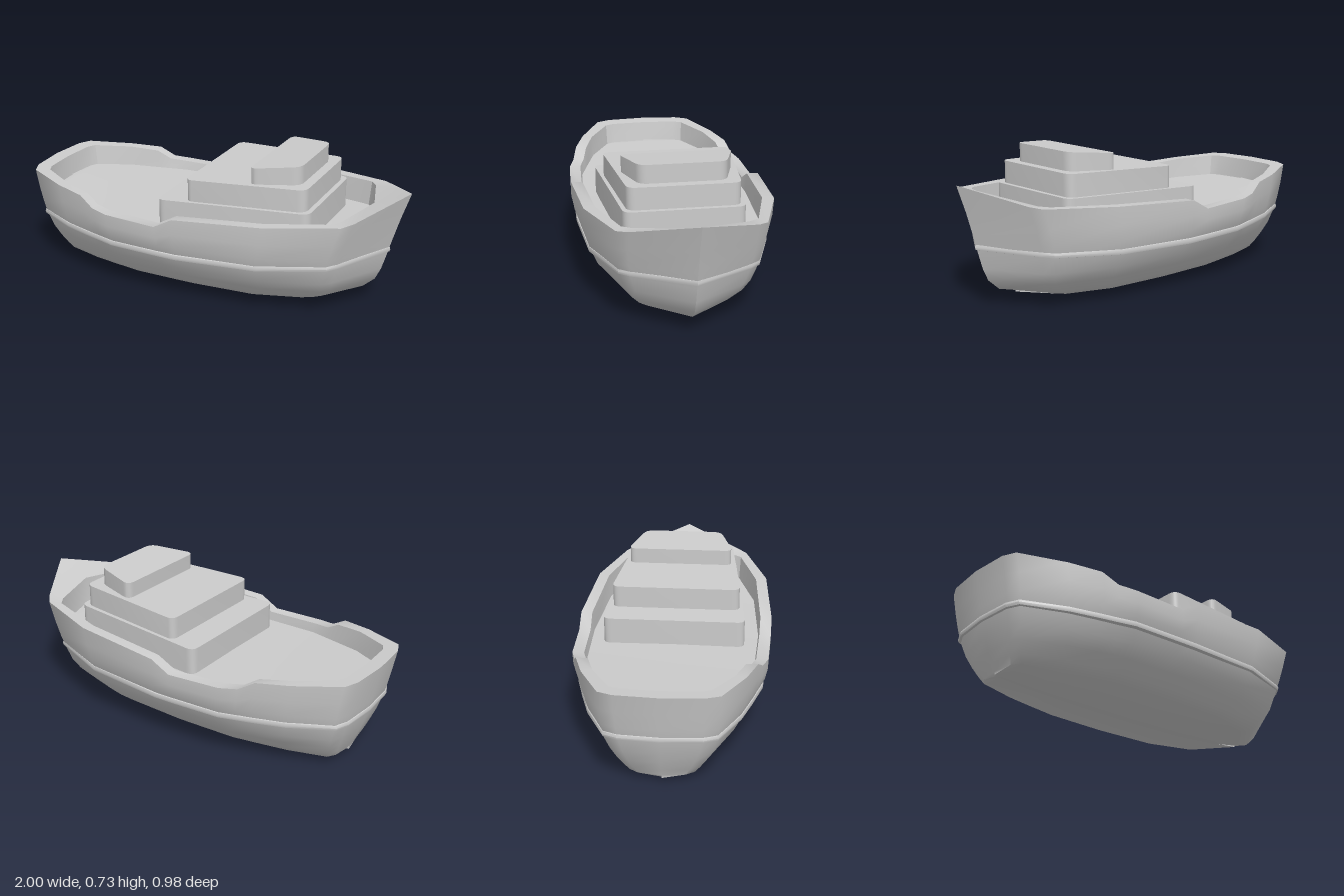
import * as THREE from 'three';
import { toCreasedNormals } from 'three/addons/utils/BufferGeometryUtils.js';

// Half outlines [x, z] from stern centre to bow: outer and inner edge of the rail
const OUTER = [[-1, 0], [-0.985, 0.2], [-0.955, 0.27], [-0.74, 0.375], [-0.58, 0.425], [-0.5, 0.447], [-0.41, 0.473],
  [-0.13, 0.486], [-0.03, 0.489], [0.43, 0.46], [0.77, 0.345], [0.815, 0.295], [1, 0]];
const INNER = [[-0.925, 0], [-0.915, 0.18], [-0.895, 0.225], [-0.72, 0.325], [-0.57, 0.37], [-0.5, 0.39], [-0.41, 0.415],
  [-0.13, 0.428], [-0.03, 0.432], [0.41, 0.405], [0.71, 0.315], [0.745, 0.265], [0.82, 0]];

// Rail height along the length, with the low waist amidships
const SHEER = [[-1, 0.515], [-0.58, 0.483], [-0.5, 0.435], [-0.41, 0.425], [-0.13, 0.415], [-0.03, 0.47],
  [0.43, 0.5], [0.77, 0.517], [0.815, 0.527], [1, 0.605]];
function railY(x) {
  for (let i = 1; i < SHEER.length; i++) {
    const [x0, y0] = SHEER[i - 1], [x1, y1] = SHEER[i];
    if (x <= x1) return y0 + (y1 - y0) * (x - x0) / (x1 - x0);
  }
  return 0.605;
}
const deckY = (x) => 0.37 + 0.035 * x * x;
const beltY = (x) => 0.262 + 0.018 * x * x + 0.022 * Math.max(0, x);

// Turn a half outline into a closed ring of points; place(x, z) gives each point
function ring(half, place) {
  const side = half.map(([x, z]) => place(x, z));
  const other = side.slice(1, -1).reverse().map((p) => new THREE.Vector3(p.x, p.y, -p.z));
  return [...side, ...other];
}

// Skin a series of rings
function skin(rings, crease = 0.8) {
  const pos = [];
  const tri = (a, b, c) => {
    const n = b.clone().sub(a).cross(c.clone().sub(a));
    if (n.length() > 1e-9) for (const p of [a, b, c]) pos.push(p.x, p.y, p.z);
  };
  for (let r = 0; r + 1 < rings.length; r++) {
    const top = rings[r], low = rings[r + 1], n = top.length;
    for (let i = 0; i < n; i++) {
      const j = (i + 1) % n;
      tri(top[i], low[i], top[j]);
      tri(top[j], low[i], low[j]);
    }
  }
  const geo = new THREE.BufferGeometry();
  geo.setAttribute('position', new THREE.Float32BufferAttribute(pos, 3));
  return toCreasedNormals(geo, crease);
}

// Outline scaled to given stern x, bow x and half width
const V = (x, y, z) => new THREE.Vector3(x, y, z);
function section(stern, bow, width, y) {
  return ring(OUTER, (x, z) => V(x < 0 ? -x * stern : x * bow, y(x), z * width / 0.489));
}

// Tapered deckhouse tier with rounded corners and a roof rising towards the bow
function tierGeometry(x0, x1, zAft, zFore, base, yAft, yFore) {
  const corners = [[x0, -zAft], [x1, -zFore], [x1, zFore], [x0, zAft]].map((c) => new THREE.Vector2(...c));
  const shape = new THREE.Shape();
  corners.forEach((c, i) => {
    const toward = (o) => c.clone().add(o.clone().sub(c).setLength(0.045));
    const a = toward(corners[(i + 3) % 4]), b = toward(corners[(i + 1) % 4]);
    if (i === 0) shape.moveTo(a.x, a.y); else shape.lineTo(a.x, a.y);
    shape.quadraticCurveTo(c.x, c.y, b.x, b.y);
  });
  shape.closePath();
  const geo = new THREE.ExtrudeGeometry(shape, { depth: 1, bevelEnabled: false, curveSegments: 6 });
  geo.rotateX(-Math.PI / 2);
  const p = geo.attributes.position;
  for (let i = 0; i < p.count; i++) {
    const roof = yAft + (yFore - yAft) * (p.getX(i) - x0) / (x1 - x0);
    p.setY(i, p.getY(i) > 0.5 ? roof : base);
  }
  return toCreasedNormals(geo, 0.6);
}

export function createModel() {
  const model = new THREE.Group();
  const material = new THREE.MeshStandardMaterial({ color: 0xcccccc });
  const add = (name, geo) => {
    const mesh = new THREE.Mesh(geo, material);
    mesh.name = name;
    model.add(mesh);
  };

  // Hull: upper sides follow the sheer, lower sides round in to the bilge
  const upper = (t) => (x) => 0.27 + (railY(x) - 0.27) * t;
  const rail = section(-1, 1, 0.489, railY);
  const bilge = section(-0.862, 0.69, 0.27, (x) => 0.04 + 0.012 * Math.max(0, x) ** 4);
  const keel = bilge.map((p) => {
    const rise = p.x > 0 ? 0.04 * (p.x / 0.69) ** 2 : 0.02 * (p.x / 0.862) ** 4;
    return V(p.x, 0.004 + rise, 0);
  });
  add('hull', skin([
    rail,
    section(-0.98, 0.955, 0.488, upper(0.6)),
    section(-0.963, 0.92, 0.475, upper(0.25)),
    section(-0.95, 0.897, 0.457, upper(0)),
    section(-0.925, 0.873, 0.42, () => 0.19),
    section(-0.902, 0.845, 0.37, () => 0.13),
    section(-0.88, 0.785, 0.315, () => 0.077),
    bilge,
    keel,
  ]));

  // Rubbing strake around the hull
  const strake = (grow, dy) =>
    section(-0.945 * (1 + grow * 0.5), 0.897 * (1 + grow * 0.5), 0.452 * (1 + grow), (x) => beltY(x) + dy);
  add('rubbingStrake', skin([strake(0, 0.017), strake(0.028, 0.012), strake(0.036, 0),
    strake(0.028, -0.012), strake(-0.01, -0.017)], 0.7));

  // Bulwark: rail cap and inner wall, then the deck
  const innerRail = ring(INNER, (x, z) => V(x, railY(x), z));
  const deckEdge = ring(INNER, (x, z) => V(x * 0.985, deckY(x), z * 0.98));
  const deckCentre = deckEdge.map((p) => V(p.x, p.y + 0.004, 0));
  add('bulwark', skin([deckEdge, innerRail, rail], 0.6));
  add('deck', skin([deckCentre, deckEdge]));

  // Stepped deckhouse
  add('lowerCabin', tierGeometry(-0.18, 0.592, 0.358, 0.288, 0.34, 0.505, 0.53));
  add('middleCabin', tierGeometry(-0.037, 0.567, 0.327, 0.268, 0.48, 0.62, 0.64));
  add('wheelhouse', tierGeometry(0.28, 0.517, 0.278, 0.205, 0.6, 0.71, 0.73));

  return model;
}
